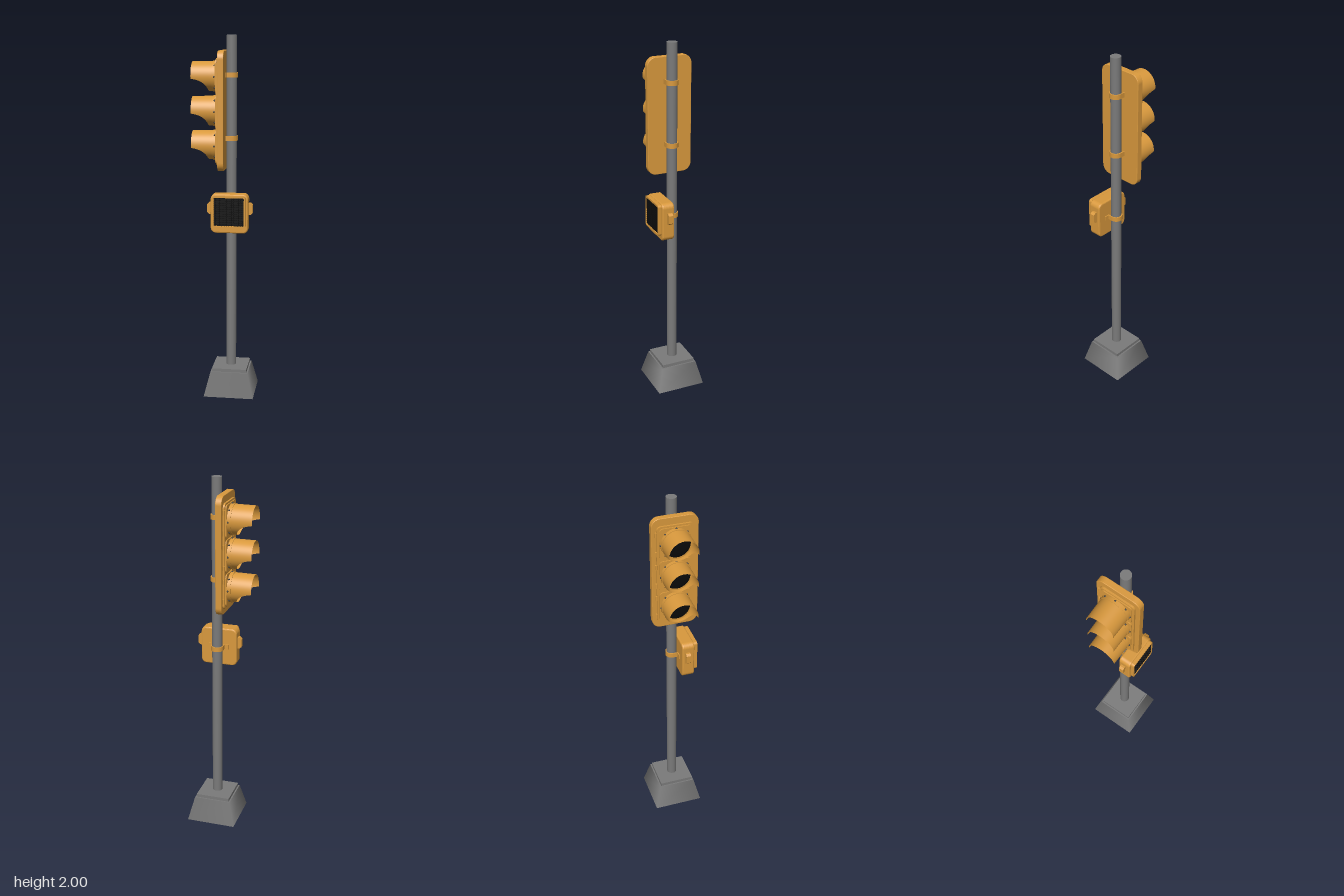
import * as THREE from 'three';

const orange = new THREE.MeshStandardMaterial({ color: 0xd9993d, side: THREE.DoubleSide });
orange.name = 'orange paint';
const grey = new THREE.MeshStandardMaterial({ color: 0x7a7a7a, side: THREE.DoubleSide });
grey.name = 'grey metal';
const black = new THREE.MeshStandardMaterial({ color: 0x0b0b0b });
black.name = 'black glass';
const dark = new THREE.MeshStandardMaterial({ color: 0x3a3a3a });
dark.name = 'dark bolts';

const POLE_X = 0.035;

function add(parent, name, geometry, material, x = 0, y = 0, z = 0) {
  const mesh = new THREE.Mesh(geometry, material);
  mesh.name = name;
  mesh.position.set(x, y, z);
  parent.add(mesh);
  return mesh;
}

function roundRect(w, h, r, Type = THREE.Shape) {
  const s = new Type(), x = w / 2, y = h / 2;
  s.moveTo(-x + r, -y);
  s.lineTo(x - r, -y);
  s.absarc(x - r, -y + r, r, -Math.PI / 2, 0);
  s.absarc(x - r, y - r, r, 0, Math.PI / 2);
  s.absarc(-x + r, y - r, r, Math.PI / 2, Math.PI);
  s.absarc(-x + r, -y + r, r, Math.PI, Math.PI * 1.5);
  return s;
}

// Rounded slab of exact outer size, its back on z = 0
function slab(w, h, d, r, bevel = 0) {
  const g = new THREE.ExtrudeGeometry(roundRect(w - 2 * bevel, h - 2 * bevel, r), {
    depth: d - 2 * bevel, bevelEnabled: bevel > 0, bevelSize: bevel,
    bevelThickness: bevel, bevelSegments: 3, curveSegments: 8,
  });
  return g.translate(0, 0, bevel);
}

// Square frustum
function frustum(bottom, top, h, open) {
  const g = new THREE.CylinderGeometry(top * Math.SQRT2, bottom * Math.SQRT2, h, 4, 1, open);
  return g.rotateY(Math.PI / 4).toNonIndexed();
}

// Cylinder lying along z, its back on z = 0
function disc(r, d, open = false, segs = 48) {
  return new THREE.CylinderGeometry(r, r, d, segs, 1, open).rotateX(Math.PI / 2).translate(0, 0, d / 2);
}

// Visor: a tube whose front edge is swept back below the middle
function visorGeometry(r) {
  const g = new THREE.CylinderGeometry(1, 1, 1, 96, 6, true).rotateX(Math.PI / 2);
  const p = g.attributes.position;
  for (let i = 0; i < p.count; i++) {
    const f = p.getZ(i) + 0.5;
    const t = Math.max(0, Math.min(1, (-0.16 - p.getY(i)) / 0.84));
    const end = 0.177 - 0.09 * Math.sqrt(1 - (1 - t) ** 2);
    const z = 0.062 + f * (end - 0.062);
    const radius = r - (z - 0.062) * 0.015;
    p.setXYZ(i, p.getX(i) * radius, p.getY(i) * radius, z);
  }
  g.computeVertexNormals();
  return g;
}

// U-shaped strap around the pole, opening toward +z
function strapGeometry(foot) {
  const ro = 0.034, ri = 0.028, leg = 0.03;
  const s = new THREE.Shape();
  s.moveTo(ro + foot, -leg);
  s.lineTo(ro + foot, -leg + 0.005);
  s.lineTo(ro, -leg + 0.005);
  s.absarc(0, 0, ro, 0, Math.PI);
  s.lineTo(-ro, -leg + 0.005);
  s.lineTo(-ro - foot, -leg + 0.005);
  s.lineTo(-ro - foot, -leg);
  s.lineTo(-ri, -leg);
  s.absarc(0, 0, ri, Math.PI, 0, true);
  s.lineTo(ri, -leg);
  const g = new THREE.ExtrudeGeometry(s, { depth: 0.026, bevelEnabled: false, curveSegments: 20 });
  return g.rotateX(-Math.PI / 2).translate(0, -0.013, 0);
}

function createBase() {
  const base = new THREE.Group();
  base.name = 'base';
  add(base, 'foot', frustum(0.139, 0.105, 0.137, true), grey, 0, 0.0685);
  add(base, 'footTop', new THREE.BoxGeometry(0.21, 0.004, 0.21), grey, 0, 0.135);
  add(base, 'cap', new THREE.BoxGeometry(0.194, 0.018, 0.194), grey, 0, 0.146);
  add(base, 'pole', new THREE.CylinderGeometry(0.028, 0.028, 1.86, 40), grey, 0, 1.07);
  base.position.x = POLE_X;
  return base;
}

function createSignal() {
  // Built facing +z, then turned to face -x
  const signal = new THREE.Group();
  signal.name = 'trafficSignal';
  add(signal, 'backPlate', slab(0.25, 0.64, 0.034, 0.043, 0.003), orange, 0, 0, -0.006);
  add(signal, 'housing', slab(0.2, 0.57, 0.01, 0.025), orange, 0, -0.005, 0.028);
  const visor = visorGeometry(0.08);
  for (const y of [0.182, -0.003, -0.188]) {
    const lamp = new THREE.Group();
    lamp.name = 'lamp';
    lamp.position.y = y;
    add(lamp, 'door', slab(0.176, 0.176, 0.006, 0.02), orange, 0, 0, 0.038);
    add(lamp, 'collar', disc(0.083, 0.022), orange, 0, 0, 0.042);
    add(lamp, 'visor', visor, orange);
    const lens = add(lamp, 'lens', new THREE.SphereGeometry(0.072, 32, 16), black, 0, 0, 0.062);
    lens.scale.z = 0.2;
    // Bolts round the collar and hinges on one edge
    for (let i = 0; i < 8; i++) {
      const a = i * Math.PI / 4;
      const bolt = add(lamp, 'bolt', new THREE.SphereGeometry(0.005, 10, 8), dark);
      bolt.position.set(Math.cos(a) * 0.083, Math.sin(a) * 0.083, 0.05);
    }
    for (const s of [-1, 1]) {
      add(lamp, 'hinge', new THREE.CylinderGeometry(0.006, 0.006, 0.025, 12), orange, -0.102, s * 0.055, 0.034);
    }
    signal.add(lamp);
  }
  signal.rotation.y = -Math.PI / 2;
  signal.position.y = 1.6;
  return signal;
}

function createCrossingBox() {
  const box = new THREE.Group();
  box.name = 'crossingSignal';
  add(box, 'case', slab(0.205, 0.215, 0.07, 0.02, 0.008), orange, 0, 1.047, 0.03);

  // Front frame with a recessed screen
  const rim = roundRect(0.178, 0.178, 0.014);
  rim.holes.push(roundRect(0.164, 0.156, 0.004, THREE.Path));
  const rimGeo = new THREE.ExtrudeGeometry(rim, { depth: 0.022, bevelEnabled: false, curveSegments: 6 });
  add(box, 'frame', rimGeo, orange, 0, 1.06, 0.098);
  add(box, 'screen', new THREE.BoxGeometry(0.166, 0.158, 0.006), black, 0, 1.06, 0.103);
  for (let i = 0; i < 13; i++) {
    const t = (i + 0.5) / 13 - 0.5;
    add(box, 'grilleUpright', new THREE.BoxGeometry(0.002, 0.156, 0.012), black, t * 0.164, 1.06, 0.111);
    add(box, 'grilleSlat', new THREE.BoxGeometry(0.164, 0.002, 0.012), black, 0, 1.06 + t * 0.156, 0.111);
  }

  // Side lugs
  const lug = new THREE.Shape([[0.1, -0.032], [0.114, -0.032], [0.125, -0.022], [0.125, 0.022],
    [0.114, 0.032], [0.1, 0.032]].map(([x, y]) => new THREE.Vector2(x, y)));
  const lugGeo = new THREE.ExtrudeGeometry(lug, { depth: 0.026, bevelEnabled: false });
  for (const side of [0, Math.PI]) {
    const m = add(box, 'sideLug', lugGeo, orange, 0, 1.072, side ? 0.073 : 0.047);
    m.rotation.y = side;
  }
  box.position.x = POLE_X;
  return box;
}

export function createModel() {
  const model = new THREE.Group();
  model.name = 'trafficLight';
  model.add(createBase(), createSignal(), createCrossingBox());
  // Straps fixing both signals to the pole
  for (const y of [1.79, 1.45]) {
    add(model, 'signalStrap', strapGeometry(0.003), orange, POLE_X, y).rotation.y = -Math.PI / 2;
  }
  add(model, 'boxStrap', strapGeometry(0.024), orange, POLE_X, 1.05);
  return model;
}
